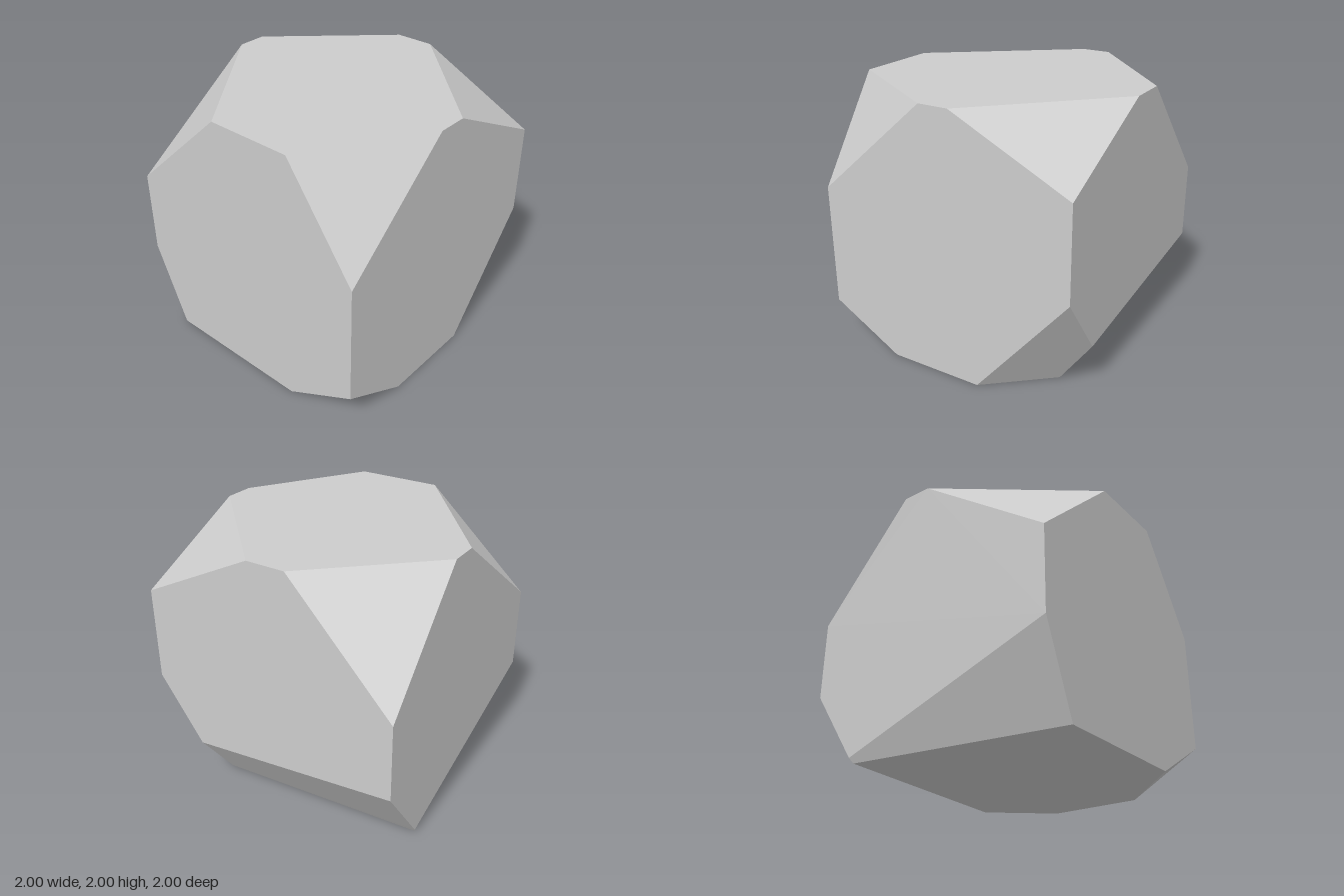
import * as THREE from 'three';
import { ConvexGeometry } from 'three/addons/geometries/ConvexGeometry.js';

// A cube corner sliced off: one point along each of its three edges.
function slicedCorner(x, y, z, dx, dy, dz) {
  const inY = y > 1 ? -1 : 1;
  return [
    new THREE.Vector3(x - Math.sign(x) * dx, y, z),
    new THREE.Vector3(x, y + inY * dy, z),
    new THREE.Vector3(x, y, z - Math.sign(z) * dz),
  ];
}

export function createModel() {
  const group = new THREE.Group();
  group.name = 'cutStone';

  const stoneGrey = new THREE.MeshStandardMaterial({ color: 0xcccccc });
  stoneGrey.name = 'stone grey';

  const points = [
    // Four top corners
    ...slicedCorner(-1, 2, -1, 0.8, 0.846, 0.75),
    ...slicedCorner(1, 2, -1, 0.9, 0.44, 0.9),
    ...slicedCorner(-1, 2, 1, 0.81, 0.73, 1.03),
    ...slicedCorner(1, 2, 1, 0.53, 0.76, 0.87),
    // Bottom front left corner
    ...slicedCorner(1, 0, 1, 0.56, 0.31, 0.55),
    // The other three bottom cuts run into each other
    ...[
      [1, 0, -0.28], [1, 0.86, -1], [0.649, 0.373, -1], [0.61, 0, -0.7335],
      [-1, 0.565, -1], [-0.9796, 0, -0.603], [-1, 0.04, -0.63],
      [-0.74, 0, 1], [-1, 0.63, 1],
    ].map((p) => new THREE.Vector3(...p)),
  ];

  const stone = new THREE.Mesh(new ConvexGeometry(points), stoneGrey);
  stone.name = 'stone';
  group.add(stone);
  return group;
}
